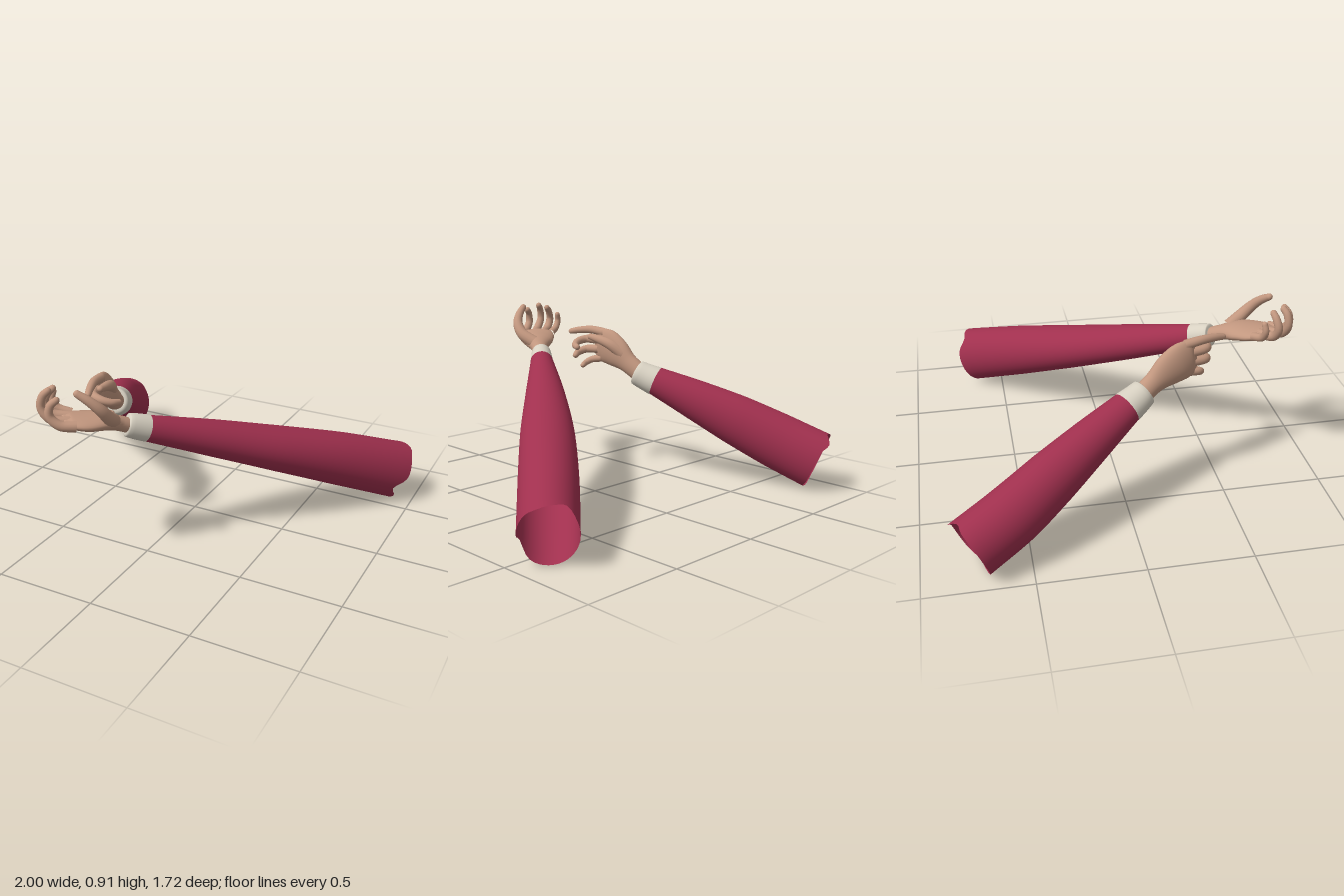
import * as THREE from 'three';

const V = (p) => new THREE.Vector3(...p);

const skin = new THREE.MeshStandardMaterial({ color: 0xc2977f });
skin.name = 'skin';
const cloth = new THREE.MeshStandardMaterial({ color: 0xa0304e, side: THREE.DoubleSide });
cloth.name = 'red cloth';
const linen = new THREE.MeshStandardMaterial({ color: 0xd8d1c2, side: THREE.DoubleSide });
linen.name = 'cuff linen';

// Smooth elliptical loft. Rows are [x, y, z, half width, half depth];
// sides holds one across-vector, or one for each row.
function loft(rows, sides, { steps = 24, around = 28, cap = false, rim = null } = {}) {
  const path = new THREE.CatmullRomCurve3(rows.map((r) => V(r.slice(0, 3))));
  const size = new THREE.CatmullRomCurve3(rows.map((r) => V([r[3], r[4] ?? r[3], 0])));
  const across = sides.length > 1 ? new THREE.CatmullRomCurve3(sides.map(V)) : null;
  const pos = [], index = [];
  let rings = 0;
  const addRing = (c, u, w, a, b, T, edge) => {
    for (let j = 0; j < around; j++) {
      const th = (j / around) * Math.PI * 2;
      const p = c.clone().addScaledVector(u, a * Math.cos(th)).addScaledVector(w, b * Math.sin(th));
      if (edge) p.addScaledVector(T, edge(th));
      pos.push(p.x, p.y, p.z);
    }
    rings++;
  };
  for (let i = 0; i <= steps; i++) {
    const t = i / steps;
    const c = path.getPoint(t), T = path.getTangent(t), s = size.getPoint(t);
    const u = across ? across.getPoint(t) : V(sides[0]);
    u.addScaledVector(T, -u.dot(T)).normalize();
    const w = T.clone().cross(u);
    addRing(c, u, w, s.x, s.y, T, i === 0 ? rim : null);
    // rounded tip
    if (cap && i === steps) {
      for (let k = 1; k <= 5; k++) {
        const q = (k / 5) * Math.PI * 0.497;
        const c2 = c.clone().addScaledVector(T, s.y * Math.sin(q));
        addRing(c2, u, w, s.x * Math.cos(q), s.y * Math.cos(q), T);
      }
    }
  }
  for (let i = 0; i < rings - 1; i++) {
    for (let j = 0; j < around; j++) {
      const k = (j + 1) % around;
      const a = i * around + j, b = i * around + k, c = a + around, d = b + around;
      index.push(a, b, c, b, d, c);
    }
  }
  const g = new THREE.BufferGeometry();
  g.setAttribute('position', new THREE.Float32BufferAttribute(pos, 3));
  g.setIndex(index);
  g.computeVertexNormals();
  return g;
}

// Torn notches along the open end: [angle, depth, spread]
const notches = (list) => (th) => list.reduce((sum, [at, depth, spread]) => {
  const d = Math.atan2(Math.sin(th - at), Math.cos(th - at)) / spread;
  return sum + depth * Math.exp(-d * d);
}, 0);

function buildArm(name, arm) {
  const group = new THREE.Group();
  group.name = name;
  const add = (part, geometry, material) => {
    const m = new THREE.Mesh(geometry, material);
    m.name = part;
    group.add(m);
  };
  add('sleeve', loft(arm.sleeve, [arm.side], { around: 40, rim: notches(arm.notches) }), cloth);
  add('cuff', loft(arm.cuff, [arm.side], { steps: 8, around: 32 }), linen);
  add('palm', loft(arm.palm, arm.palmSides, { cap: true }), skin);
  for (const [part, points] of Object.entries(arm.fingers)) {
    const [r0, r1] = part === 'thumb' ? [0.036, 0.017] : part === 'littleFinger' ? [0.021, 0.014] : [0.025, 0.016];
    const rows = points.map((p, i) => [...p, r0 + (r1 - r0) * (i / (points.length - 1))]);
    add(part, loft(rows, [arm.fingerSide], { steps: 18, around: 14, cap: true }), skin);
  }
  return group;
}

const flat = (a) => [Math.cos(a), 0, Math.sin(a)];

// Left arm: palm turned up, fingers cupped
const leftArm = {
  side: [0.764, 0, 0.646],
  notches: [[-0.45, 0.06, 0.3], [2.2, 0.035, 0.35], [1.2, -0.012, 0.3]],
  sleeve: [
    [0.885, 0.155, -0.645, 0.132, 0.155],
    [0.65, 0.28, -0.38, 0.136, 0.14],
    [0.415, 0.402, -0.105, 0.13, 0.115],
    [0.185, 0.525, 0.175, 0.1, 0.09],
    [-0.03, 0.642, 0.45, 0.059, 0.062],
  ],
  cuff: [
    [-0.022, 0.638, 0.44, 0.061, 0.065],
    [-0.055, 0.656, 0.48, 0.057, 0.062],
    [-0.084, 0.672, 0.515, 0.052, 0.056],
    [-0.086, 0.673, 0.517, 0.036, 0.036],
  ],
  palm: [
    [-0.065, 0.66, 0.495, 0.04, 0.036],
    [-0.105, 0.692, 0.555, 0.044, 0.036],
    [-0.15, 0.722, 0.625, 0.088, 0.038],
    [-0.2, 0.735, 0.69, 0.1, 0.034],
    [-0.245, 0.748, 0.735, 0.088, 0.026],
    [-0.262, 0.755, 0.752, 0.07, 0.014],
  ],
  palmSides: [flat(0.6), flat(0.5), flat(0.45), flat(0.7), flat(0.85), flat(0.85)],
  fingerSide: [0.66, 0, 0.75],
  fingers: {
    thumb: [[-0.105, 0.72, 0.6], [-0.078, 0.765, 0.67], [-0.088, 0.82, 0.72], [-0.125, 0.865, 0.75], [-0.172, 0.9, 0.772]],
    indexFinger: [[-0.18, 0.745, 0.78], [-0.235, 0.757, 0.825], [-0.275, 0.8, 0.843], [-0.27, 0.85, 0.84], [-0.247, 0.875, 0.825]],
    middleFinger: [[-0.225, 0.745, 0.745], [-0.3, 0.765, 0.8], [-0.34, 0.82, 0.815], [-0.33, 0.875, 0.81], [-0.31, 0.898, 0.797]],
    ringFinger: [[-0.26, 0.75, 0.705], [-0.335, 0.77, 0.75], [-0.363, 0.82, 0.76], [-0.345, 0.868, 0.75], [-0.325, 0.888, 0.742]],
    littleFinger: [[-0.285, 0.75, 0.665], [-0.345, 0.775, 0.69], [-0.368, 0.815, 0.695], [-0.36, 0.85, 0.69]],
  },
};

// Right arm: palm turned inward, first finger extended, others curled
const rightArm = {
  side: [0.89, 0, -0.456],
  notches: [[0.9, -0.02, 0.25], [1.5, 0.015, 0.25], [-1.2, 0.012, 0.4]],
  sleeve: [
    [-0.885, 0.155, -0.77, 0.132, 0.155],
    [-0.795, 0.245, -0.57, 0.132, 0.15],
    [-0.69, 0.342, -0.38, 0.121, 0.136],
    [-0.575, 0.443, -0.18, 0.102, 0.108],
    [-0.465, 0.535, 0.01, 0.08, 0.077],
  ],
  cuff: [
    [-0.467, 0.531, 0.005, 0.083, 0.08],
    [-0.44, 0.553, 0.055, 0.075, 0.074],
    [-0.414, 0.576, 0.1, 0.066, 0.066],
    [-0.413, 0.577, 0.102, 0.045, 0.045],
  ],
  palm: [
    [-0.43, 0.562, 0.075, 0.05, 0.045],
    [-0.405, 0.618, 0.15, 0.056, 0.042],
    [-0.39, 0.668, 0.22, 0.085, 0.044],
    [-0.378, 0.7, 0.28, 0.098, 0.04],
    [-0.365, 0.715, 0.33, 0.09, 0.03],
    [-0.358, 0.718, 0.35, 0.07, 0.015],
  ],
  palmSides: [[0, 0.95, -0.3]],
  fingerSide: [0, 1, -0.1],
  fingers: {
    thumb: [[-0.39, 0.67, 0.18], [-0.35, 0.72, 0.24], [-0.328, 0.745, 0.31], [-0.322, 0.755, 0.37]],
    indexFinger: [[-0.365, 0.78, 0.3], [-0.348, 0.79, 0.385], [-0.323, 0.785, 0.455], [-0.302, 0.775, 0.505]],
    middleFinger: [[-0.36, 0.735, 0.33], [-0.335, 0.737, 0.415], [-0.285, 0.727, 0.43], [-0.237, 0.712, 0.405], [-0.22, 0.705, 0.37]],
    ringFinger: [[-0.36, 0.685, 0.34], [-0.335, 0.68, 0.415], [-0.285, 0.665, 0.43], [-0.24, 0.655, 0.405]],
    littleFinger: [[-0.365, 0.635, 0.32], [-0.347, 0.622, 0.385], [-0.313, 0.605, 0.4], [-0.275, 0.597, 0.382]],
  },
};

export function createModel() {
  const model = new THREE.Group();
  model.name = 'pair of sleeved arms';
  model.add(buildArm('leftArm', leftArm), buildArm('rightArm', rightArm));
  return model;
}
